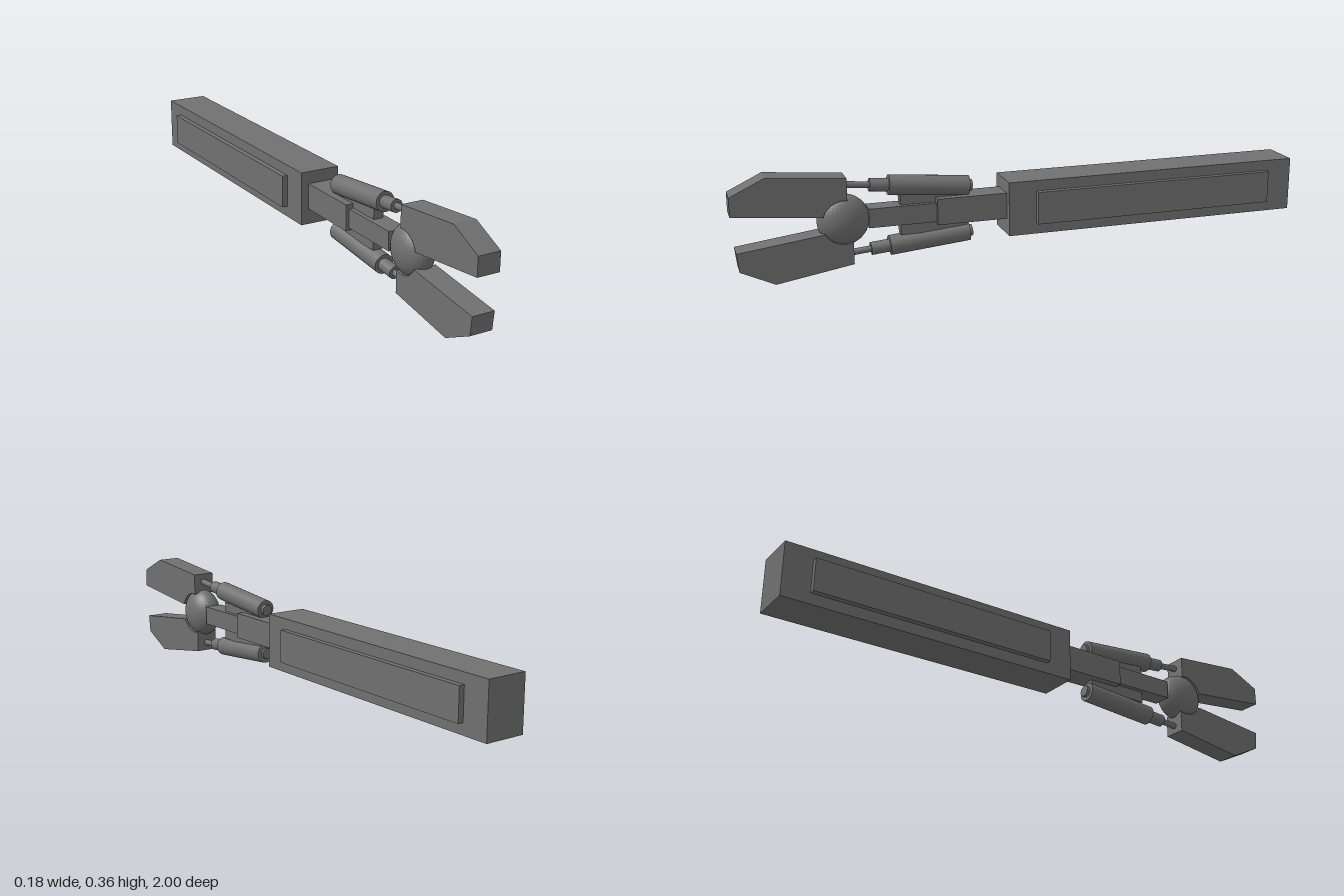
import * as THREE from 'three';

const MID = 0.19; // height of the arm's axis
const BALL_Z = 0.631;

export function createModel() {
  const model = new THREE.Group();
  model.name = 'gripperArm';
  const material = new THREE.MeshStandardMaterial({ color: 0x707070 });

  const add = (name, geometry, parent = model) => {
    const mesh = new THREE.Mesh(geometry, material);
    mesh.name = name;
    parent.add(mesh);
    return mesh;
  };

  // Box spanning y0..y1 and z0..z1, centred on x = 0
  const block = (name, width, y0, y1, z0, z1) =>
    add(name, new THREE.BoxGeometry(width, y1 - y0, z1 - z0))
      .position.set(0, (y0 + y1) / 2, (z0 + z1) / 2);

  // Housing with a raised panel on each side
  block('housing', 0.145, 0.097, 0.286, -1, 0.075);
  for (const side of [1, -1]) {
    add(side > 0 ? 'leftPanel' : 'rightPanel', new THREE.BoxGeometry(0.03, 0.114, 0.88))
      .position.set(side * 0.077, 0.192, -0.463);
  }

  // Stepped arm and the plate that carries the pistons
  block('armBase', 0.09, 0.152, 0.243, 0.05, 0.318);
  block('armTip', 0.068, 0.161, 0.227, 0.3, 0.55);
  block('pistonPlate', 0.036, 0.122, 0.262, 0.21, 0.44);

  // Flattened, faceted ball joint
  const ballGeometry = new THREE.SphereGeometry(0.088, 32, 24).toNonIndexed();
  ballGeometry.computeVertexNormals();
  const ball = add('ballJoint', ballGeometry);
  ball.scale.x = 0.66;
  ball.position.set(0, MID, BALL_Z);

  // Pistons above and below; segments are [name, radius, start, end] along z
  const segments = [
    ['pistonCap', 0.02, -0.012, 0.01],
    ['pistonBody', 0.034, 0, 0.278],
    ['pistonNeck', 0.022, 0.27, 0.342],
    ['pistonRod', 0.011, 0.34, 0.47],
  ];
  for (const side of [1, -1]) {
    const piston = new THREE.Group();
    piston.name = side > 0 ? 'upperPiston' : 'lowerPiston';
    for (const [name, radius, start, end] of segments) {
      const geometry = new THREE.CylinderGeometry(radius, radius, end - start, 24);
      geometry.rotateX(Math.PI / 2);
      add(name, geometry, piston).position.z = (start + end) / 2;
    }
    piston.position.set(0, MID + side * 0.081, 0.2);
    piston.rotation.x = -side * 0.09;
    model.add(piston);
  }

  // Claws: side outlines as [z, y], closed by a round notch about the ball
  const claw = (name, outline, from, to, clockwise) => {
    const shape = new THREE.Shape();
    outline.forEach(([z, y], i) => (i ? shape.lineTo(z, y) : shape.moveTo(z, y)));
    shape.absarc(BALL_Z, MID, 0.075, from, to, clockwise);
    const geometry = new THREE.ExtrudeGeometry(shape, {
      depth: 0.08, bevelEnabled: false, curveSegments: 10,
    });
    geometry.translate(0, 0, -0.04);
    geometry.rotateY(-Math.PI / 2);
    add(name, geometry);
  };
  claw('upperClaw',
    [[0.621, 0.34], [0.884, 0.363], [1, 0.307], [1, 0.242]],
    0.31, 1.704, false);
  claw('lowerClaw',
    [[0.605, 0.043], [0.866, 0], [0.98, 0.054], [0.987, 0.118]],
    -0.49, -1.925, true);

  return model;
}
